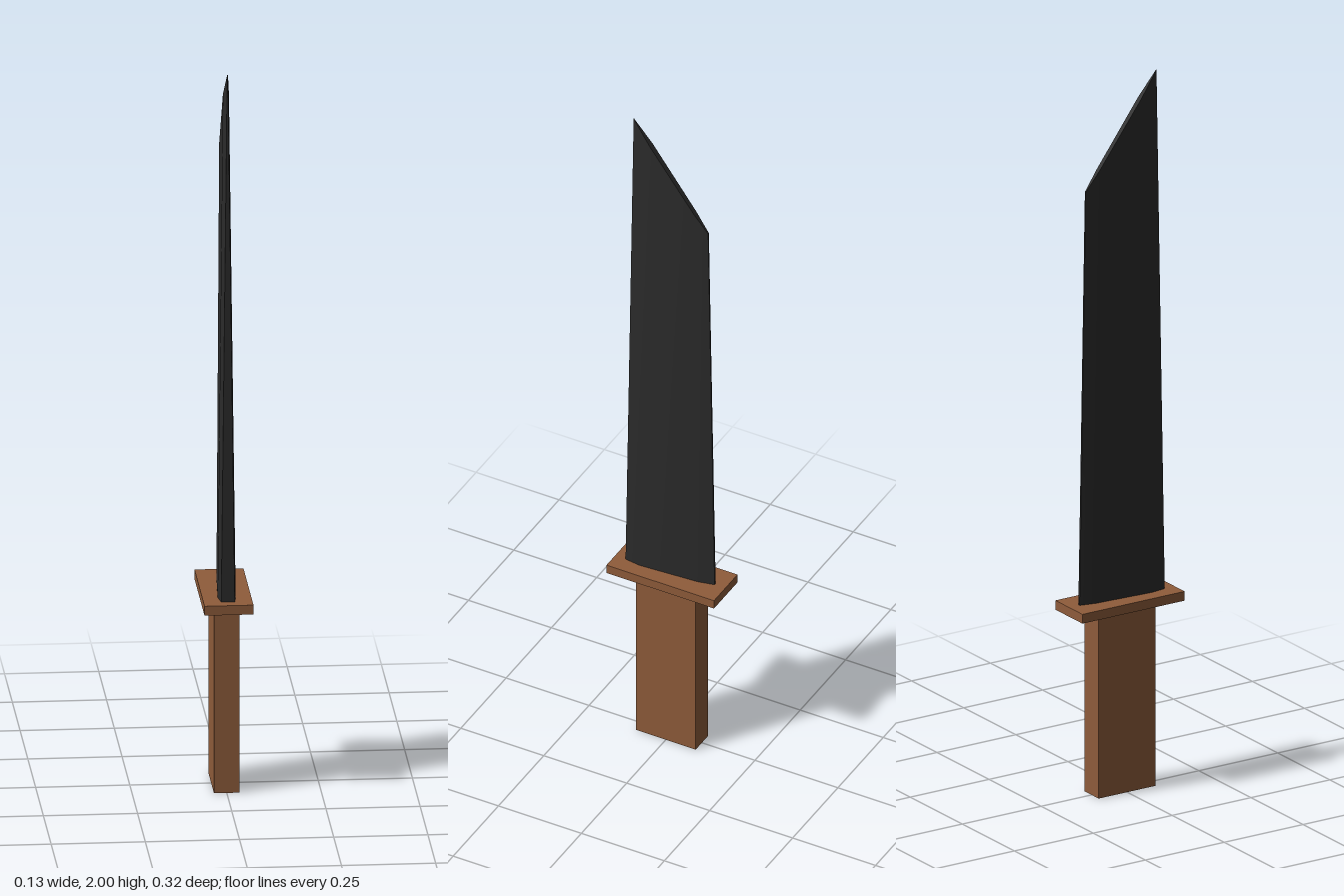
import * as THREE from 'three';
import { toCreasedNormals } from 'three/addons/utils/BufferGeometryUtils.js';

const steel = new THREE.MeshStandardMaterial({ name: 'dark steel', color: 0x2b2b2b });
const wood = new THREE.MeshStandardMaterial({ name: 'brown wood', color: 0x8f5c3b });

// Loft between two eight-point rings given as [z, halfWidth, y], front to back
function loft(lower, upper) {
  const ring = (rows) => [
    ...rows.map(([z, w, y]) => [w, y, z]),
    ...[...rows].reverse().map(([z, w, y]) => [-w, y, z]),
  ];
  const n = lower.length * 2;
  const index = [];
  for (let i = 0; i < n; i++) {
    const j = (i + 1) % n;
    index.push(i, n + j, j, i, n + i, n + j);
  }
  // Caps, as strips joining the two sides
  for (let i = 0; i < lower.length - 1; i++) {
    const a = i, b = i + 1, c = n - 2 - i, d = n - 1 - i;
    index.push(a, b, c, a, c, d);
    index.push(n + a, n + c, n + b, n + a, n + d, n + c);
  }
  // Wind every face outward
  for (let i = 0; i < index.length; i += 3) {
    [index[i + 1], index[i + 2]] = [index[i + 2], index[i + 1]];
  }
  const geometry = new THREE.BufferGeometry();
  const points = [...ring(lower), ...ring(upper)].flat();
  geometry.setAttribute('position', new THREE.Float32BufferAttribute(points, 3));
  geometry.setIndex(index);
  // Normalise the winding from the signed volume
  const p = (k) => new THREE.Vector3().fromArray(points, k * 3);
  let volume = 0;
  for (let i = 0; i < index.length; i += 3) {
    volume += p(index[i]).dot(p(index[i + 1]).cross(p(index[i + 2])));
  }
  if (volume < 0) geometry.setIndex([...index].reverse());
  return toCreasedNormals(geometry, 0.5);
}

function addBox(group, name, size, y) {
  const mesh = new THREE.Mesh(new THREE.BoxGeometry(...size), wood);
  mesh.name = name;
  mesh.position.y = y;
  group.add(mesh);
}

export function createModel() {
  const group = new THREE.Group();
  group.name = 'knife';

  // Grip and flat guard
  addBox(group, 'handle', [0.068, 0.516, 0.18], 0.258);
  addBox(group, 'guard', [0.13, 0.026, 0.324], 0.529);

  // Tapered blade with a slanted tip
  const blade = new THREE.Mesh(loft(
    [[0.13, 0.018, 0.54], [0.085, 0.024, 0.54], [-0.085, 0.013, 0.54], [-0.13, 0.003, 0.54]],
    [[0.115, 0.001, 2.0], [0.062, 0.008, 1.93], [-0.07, 0.007, 1.753], [-0.11, 0.002, 1.7]],
  ), steel);
  blade.name = 'blade';
  group.add(blade);

  return group;
}
